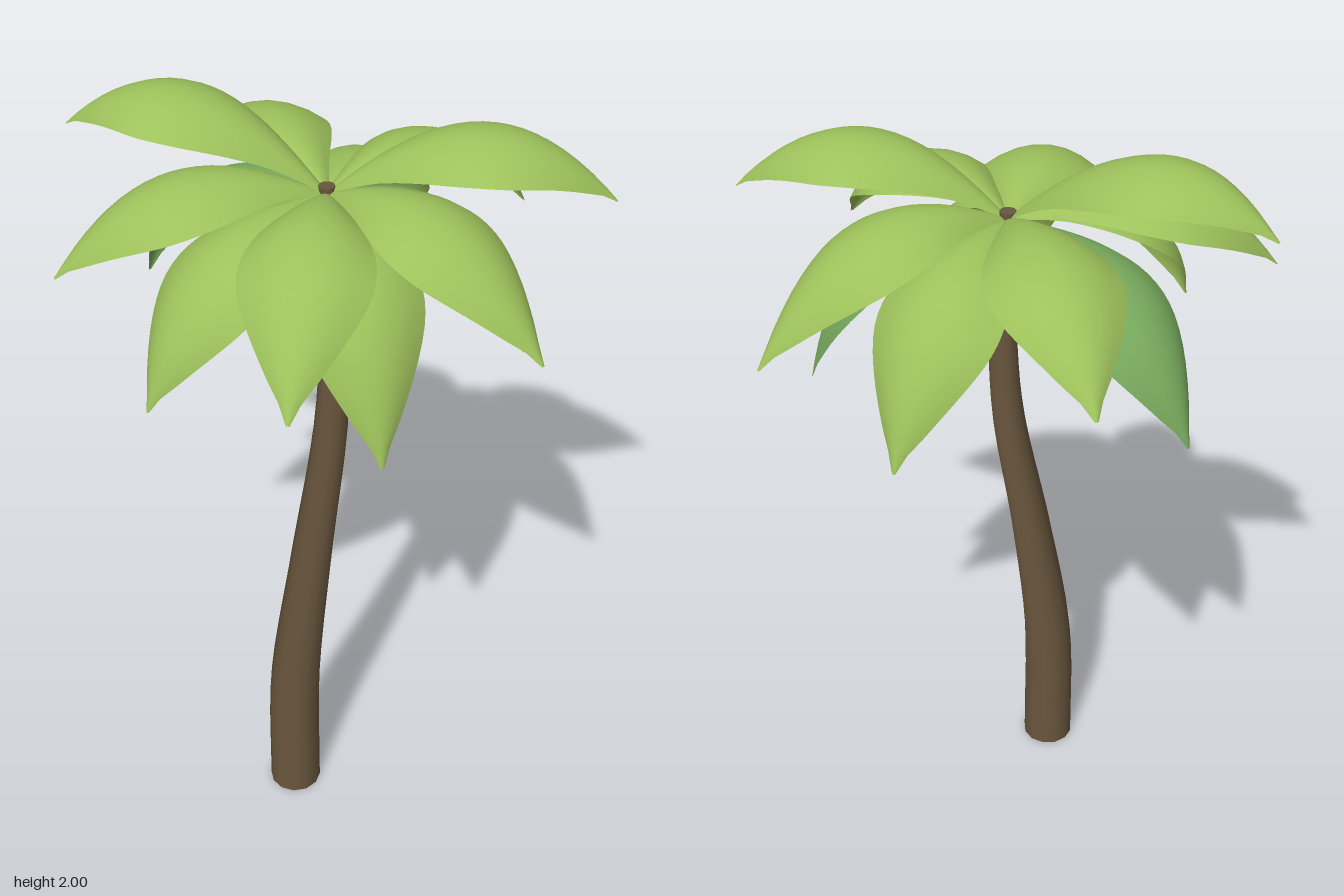
import * as THREE from 'three';

const CROWN = new THREE.Vector3(-0.02, 1.78, -0.02);

// Curved, tapering trunk: a cylinder whose rings are scaled and shifted along a curve
function makeTrunk(material) {
  const height = 1.8;
  const spine = new THREE.CatmullRomCurve3([
    [-0.105, 0.0, 0.175], [-0.1, 0.4, 0.168], [-0.055, 0.8, 0.128],
    [-0.005, 1.2, 0.057], [-0.003, 1.5, 0.002], [-0.02, 1.8, -0.02],
  ].map((p) => new THREE.Vector3(...p)));
  const radii = new THREE.SplineCurve([
    [0, 0.07], [0.4, 0.066], [0.8, 0.053], [1.2, 0.042], [1.5, 0.034], [1.8, 0.02],
  ].map((p) => new THREE.Vector2(...p)));
  const geo = new THREE.CylinderGeometry(1, 1, height, 12, 24);
  const pos = geo.attributes.position;
  for (let i = 0; i < pos.count; i++) {
    const t = THREE.MathUtils.clamp(pos.getY(i) / height + 0.5, 0, 1);
    const c = spine.getPoint(t);
    const r = radii.getPoint(t).y;
    pos.setXYZ(i, c.x + pos.getX(i) * r, c.y, c.z + pos.getZ(i) * r);
  }
  const mesh = new THREE.Mesh(geo, material);
  mesh.name = 'trunk';
  return mesh;
}

// Half-width of a frond from stem to tip
const WIDTHS = new THREE.SplineCurve(
  [0.012, 0.055, 0.105, 0.14, 0.153, 0.146, 0.115, 0.065, 0.004]
    .map((w, i) => new THREE.Vector2(i / 8, w)));

// Frond: an arched strip swept along a drooping midrib
function makeFrond(tip, bendReach, bendHeight, material) {
  const rows = 20, cols = 8;
  const end = new THREE.Vector3(...tip);
  const bend = CROWN.clone().lerp(end, bendReach).setY(bendHeight);
  const rib = new THREE.QuadraticBezierCurve3(CROWN, bend, end);
  const side = new THREE.Vector3(end.z - CROWN.z, 0, CROWN.x - end.x).normalize();
  const verts = [], index = [];
  for (let i = 0; i <= rows; i++) {
    const t = i / rows;
    const c = rib.getPoint(t);
    const w = WIDTHS.getPoint(t).y;
    const up = rib.getTangent(t).cross(side);
    for (let j = 0; j <= cols; j++) {
      const u = (j / cols) * 2 - 1;
      const p = c.clone().addScaledVector(side, u * w).addScaledVector(up, -0.43 * w * u * u);
      verts.push(p.x, p.y, p.z);
      if (i < rows && j < cols) {
        const a = i * (cols + 1) + j, b = a + cols + 1;
        index.push(a, b, a + 1, b, b + 1, a + 1);
      }
    }
  }
  const geo = new THREE.BufferGeometry();
  geo.setAttribute('position', new THREE.Float32BufferAttribute(verts, 3));
  geo.setIndex(index);
  geo.computeVertexNormals();
  return new THREE.Mesh(geo, material);
}

export function createModel() {
  const bark = new THREE.MeshStandardMaterial({ color: 0x6a573e });
  bark.name = 'barkBrown';
  const light = new THREE.MeshStandardMaterial({ color: 0x9dc15b, side: THREE.DoubleSide });
  light.name = 'leafGreen';
  const deep = new THREE.MeshStandardMaterial({ color: 0x7aad5f, side: THREE.DoubleSide });
  deep.name = 'deepLeafGreen';

  const model = new THREE.Group();
  model.name = 'palmTree';
  model.add(makeTrunk(bark));

  // Each frond: tip position, height of the bend, colour
  const tiers = {
    topFrond: { reach: 0.55, fronds: [
      [[0.65, 1.79, 0.0], 2.125, light],
      [[-0.65, 1.865, -0.18], 2.165, light],
    ] },
    middleFrond: { reach: 0.6, fronds: [
      [[-0.64, 1.64, 0.16], 2.0, light],
      [[-0.07, 1.56, 0.595], 1.97, light],
      [[0.48, 1.57, 0.36], 1.99, light],
      [[0.47, 1.55, -0.43], 2.0, light],
      [[-0.33, 1.63, -0.6], 1.99, light],
    ] },
    lowerFrond: { reach: 0.8, fronds: [
      [[0.13, 1.39, -0.54], 1.87, light],
      [[-0.5, 1.39, -0.3], 1.86, deep],
      [[0.47, 1.32, -0.07], 1.85, deep],
      [[-0.41, 1.42, 0.37], 1.86, light],
      [[0.13, 1.32, 0.425], 1.85, light],
    ] },
  };
  for (const [name, tier] of Object.entries(tiers)) {
    tier.fronds.forEach(([tip, bendHeight, material], i) => {
      const frond = makeFrond(tip, tier.reach, bendHeight, material);
      frond.name = name + (i + 1);
      model.add(frond);
    });
  }
  return model;
}
